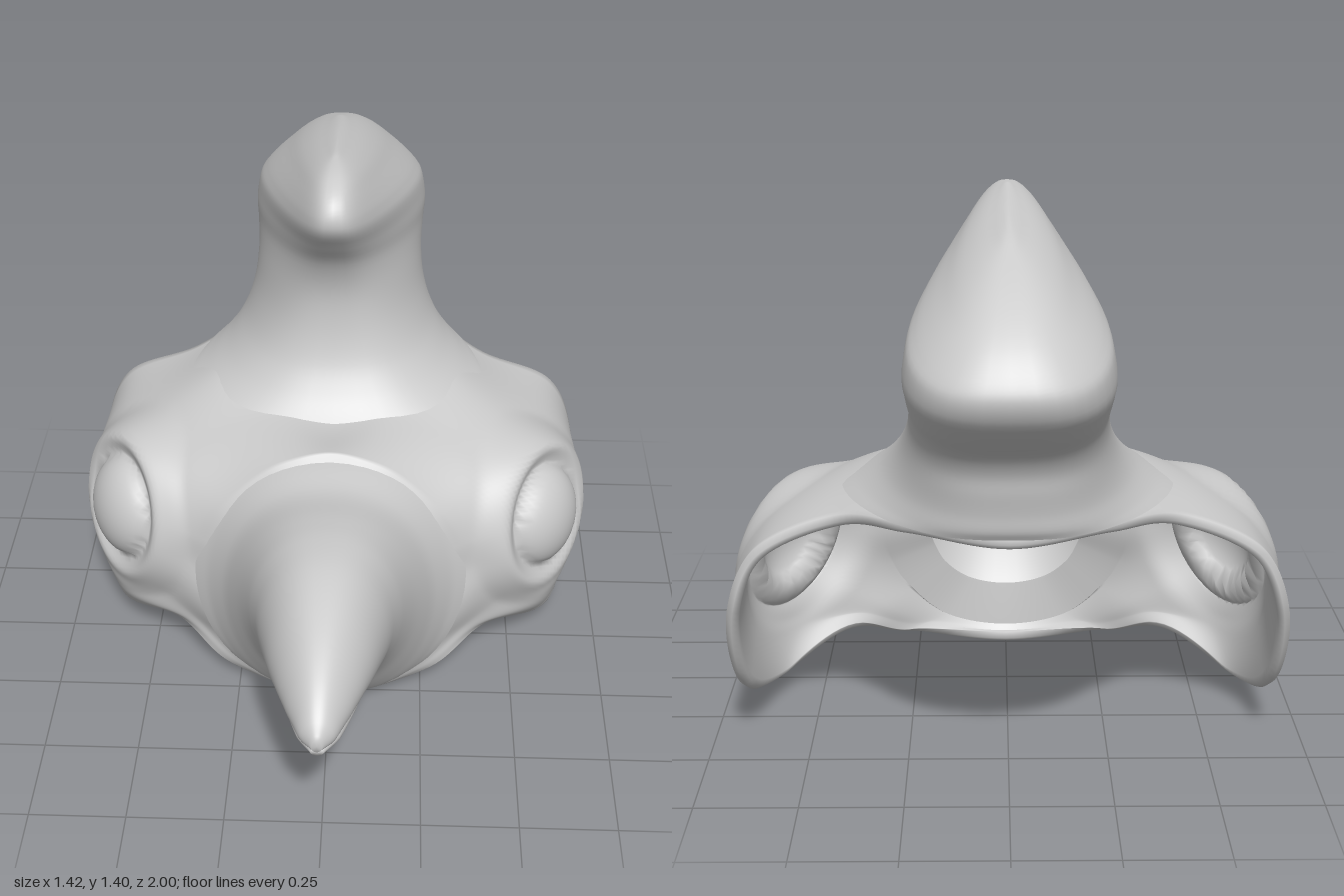
import * as THREE from 'three';

const material = new THREE.MeshStandardMaterial({ color: 0xcccccc, side: THREE.DoubleSide });
const V = (x, y, z) => new THREE.Vector3(x, y, z);

// Smooth skin over rows of points; every row is a closed loop.
// Faces with all corners marked as cut are left out.
function skin(rows) {
  const n = rows[0].length, index = [], points = rows.flat();
  for (let r = 0; r < rows.length - 1; r++) {
    for (let c = 0; c < n; c++) {
      const a = r * n + c, b = r * n + (c + 1) % n;
      if ([a, b, a + n, b + n].every((i) => points[i].cut)) continue;
      index.push(a, a + n, b, b, a + n, b + n);
    }
  }
  const g = new THREE.BufferGeometry().setFromPoints(points);
  g.setIndex(index);
  g.computeVertexNormals();
  return g;
}

// Loft through oval rings given as [zA, yA, zB, yB, halfWidth, taper];
// taper widens the B end of each oval, power squares it off.
function loft(rings, { power = 1, capStart = false, capEnd = false }) {
  const spline = (f) => new THREE.CatmullRomCurve3(rings.map(f));
  const A = spline(([z, y]) => V(0, y, z));
  const B = spline(([, , z, y]) => V(0, y, z));
  const W = spline(([, , , , w, taper = 0]) => V(w, taper, 0));
  const rows = [], steps = rings.length * 4, n = 56;
  for (let i = 0; i <= steps; i++) {
    const t = i / steps, a = A.getPoint(t), b = B.getPoint(t), w = W.getPoint(t);
    rows.push(Array.from({ length: n }, (_, j) => {
      const th = j / n * Math.PI * 2, c = Math.cos(th), s = Math.sin(th);
      const p = b.clone().lerp(a, (1 - c) / 2);
      p.x = w.x * Math.sign(s) * Math.abs(s) ** power * (1 + w.y * c);
      return p;
    }));
  }
  const collapse = (row) => {
    const m = row[0].clone().lerp(row[n / 2], 0.5);
    return row.map(() => m.clone());
  };
  if (capStart) rows.unshift(collapse(rows[0]));
  if (capEnd) rows.push(collapse(rows[rows.length - 1]));
  return skin(rows);
}

// Press a domed eye with a soft ring around it into a shell point
function shapeEye(p) {
  const side = p.x < 0 ? -1 : 1;
  const axis = V(side * .8, .2, .55).normalize();
  const d = p.clone().sub(V(side * .57, .42, -.03));
  const h = d.dot(axis), r = d.addScaledVector(axis, -h).length();
  if (r > .27 || Math.abs(h) > .2) return;
  const dome = .075 * Math.max(0, 1 - (r / .14) ** 2) ** .6;
  const ring = .016 * Math.exp(-(((r - .19) / .028) ** 2));
  const weight = 1 - THREE.MathUtils.smoothstep(r, .19, .27);
  p.addScaledVector(axis, (.01 + dome + ring - h) * weight);
}

// Opening into the hollow neck: points inside it move to its oval edge
function cutNeck(p) {
  const dx = p.x / .2, dz = (p.z + .42) / .28, d = Math.hypot(dx, dz);
  if (p.y < .6 || d >= 1) return;
  p.cut = true;
  p.x = .2 * dx / Math.max(d, .001);
  p.z = -.42 + .28 * dz / Math.max(d, .001);
}

// Open-backed face shell: meridians run from the beak root to the rim.
function shellGeometry() {
  const half = [
    [[0, .04, .30], [0, .02, .285], [0, .01, .275], [0, .005, .26]],
    [[.17, .08, .28], [.22, .07, .25], [.25, .065, .23], [.28, .06, .21]],
    [[.28, .18, .24], [.36, .16, .16], [.40, .14, .13], [.42, .12, .10]],
    [[.33, .28, .21], [.47, .25, .11], [.58, .16, .03], [.62, .06, -.09]],
    [[.35, .37, .18], [.51, .37, .10], [.67, .30, -.08], [.685, .155, -.36]],
    [[.34, .46, .18], [.50, .48, .09], [.665, .47, -.10], [.69, .40, -.485]],
    [[.29, .56, .18], [.42, .60, .05], [.57, .58, -.12], [.62, .56, -.50]],
    [[.17, .67, .16], [.28, .685, -.02], [.37, .705, -.22], [.42, .65, -.50]],
    [[.09, .705, .15], [.15, .71, -.05], [.24, .755, -.32], [.25, .685, -.65]],
    [[0, .72, .14], [0, .70, -.05], [0, .77, -.37], [0, .695, -.79]],
  ];
  const mirrored = half.slice(1, -1).reverse().map((m) => m.map(([x, y, z]) => [-x, y, z]));
  const all = [...half, ...mirrored], n = 216, steps = 44;
  const loops = [0, 1, 2, 3].map((k) =>
    new THREE.CatmullRomCurve3(all.map((m) => V(...m[k])), true));
  const outer = Array.from({ length: steps + 2 }, () => []);
  for (let c = 0; c < n; c++) {
    const meridian = new THREE.CatmullRomCurve3(loops.map((l) => l.getPoint(c / n)));
    for (let r = 0; r <= steps; r++) outer[r + 1].push(meridian.getPoint(r / steps));
    // Lip around the opening into the hollow beak
    outer[0].push(outer[1][c].clone().lerp(V(0, .39, .34), .35));
  }
  outer.flat().forEach(shapeEye);
  // Inner wall, offset along the normals, joined by a rounded rim
  const normals = skin(outer).getAttribute('normal');
  const normal = (r, c) => V().fromBufferAttribute(normals, r * n + c);
  const inner = outer.map((row, r) => row.map((p, c) => p.clone().addScaledVector(normal(r, c), -.03)));
  const last = steps + 1;
  const rim = outer[last].map((p, c) => {
    const along = p.clone().sub(outer[last - 1][c]).normalize();
    return p.clone().lerp(inner[last][c], .5).addScaledVector(along, .01);
  });
  const rows = [...outer, rim, ...inner.reverse()];
  rows.flat().forEach(cutNeck);
  return skin(rows);
}

export function createModel() {
  const group = new THREE.Group();
  const add = (name, geometry) => {
    const mesh = new THREE.Mesh(geometry, material);
    mesh.name = name;
    group.add(mesh);
  };

  add('faceShellWithEyes', shellGeometry());

  // Beak, rings from the tip back to the flared root
  add('upperBeak', loft([
    [1.0, .53, 1.0, .495, .012, .1], [.97, .565, .97, .485, .042, .2], [.9, .615, .9, .472, .072, .25],
    [.78, .67, .80, .445, .11, .22], [.62, .715, .64, .355, .155, .1], [.5, .72, .5, .255, .19],
    [.4, .71, .4, .16, .225], [.27, .69, .32, .06, .275], [.17, .70, .275, .015, .325],
    [.10, .705, .255, .01, .365],
  ], { power: .88, capStart: true }));
  add('lowerBeak', loft([
    [.98, .485, .98, .465, .015], [.92, .49, .92, .44, .05], [.8, .49, .8, .405, .085],
    [.65, .48, .65, .345, .11], [.5, .45, .5, .28, .12],
  ], { capStart: true }));

  // Crest, rings from the flared neck up to the keeled top
  add('crest', loft([
    [-.01, .67, -.795, .69, .40, -.25], [-.04, .71, -.805, .71, .355, -.2],
    [-.08, .76, -.81, .75, .305, -.12], [-.12, .83, -.82, .80, .265, -.02],
    [-.145, .93, -.83, .85, .238, .1], [-.145, 1.04, -.86, .90, .225, .22],
    [-.11, 1.14, -.92, .95, .22, .36], [-.05, 1.22, -.98, 1.01, .218, .43],
    [0, 1.29, -.998, 1.06, .208, .44], [0, 1.33, -.985, 1.10, .185, .42],
    [-.03, 1.37, -.93, 1.17, .14, .35], [-.10, 1.40, -.80, 1.26, .085, .25],
    [-.22, 1.41, -.58, 1.35, .012, .2],
  ], { power: .75, capEnd: true }));

  return group;
}
